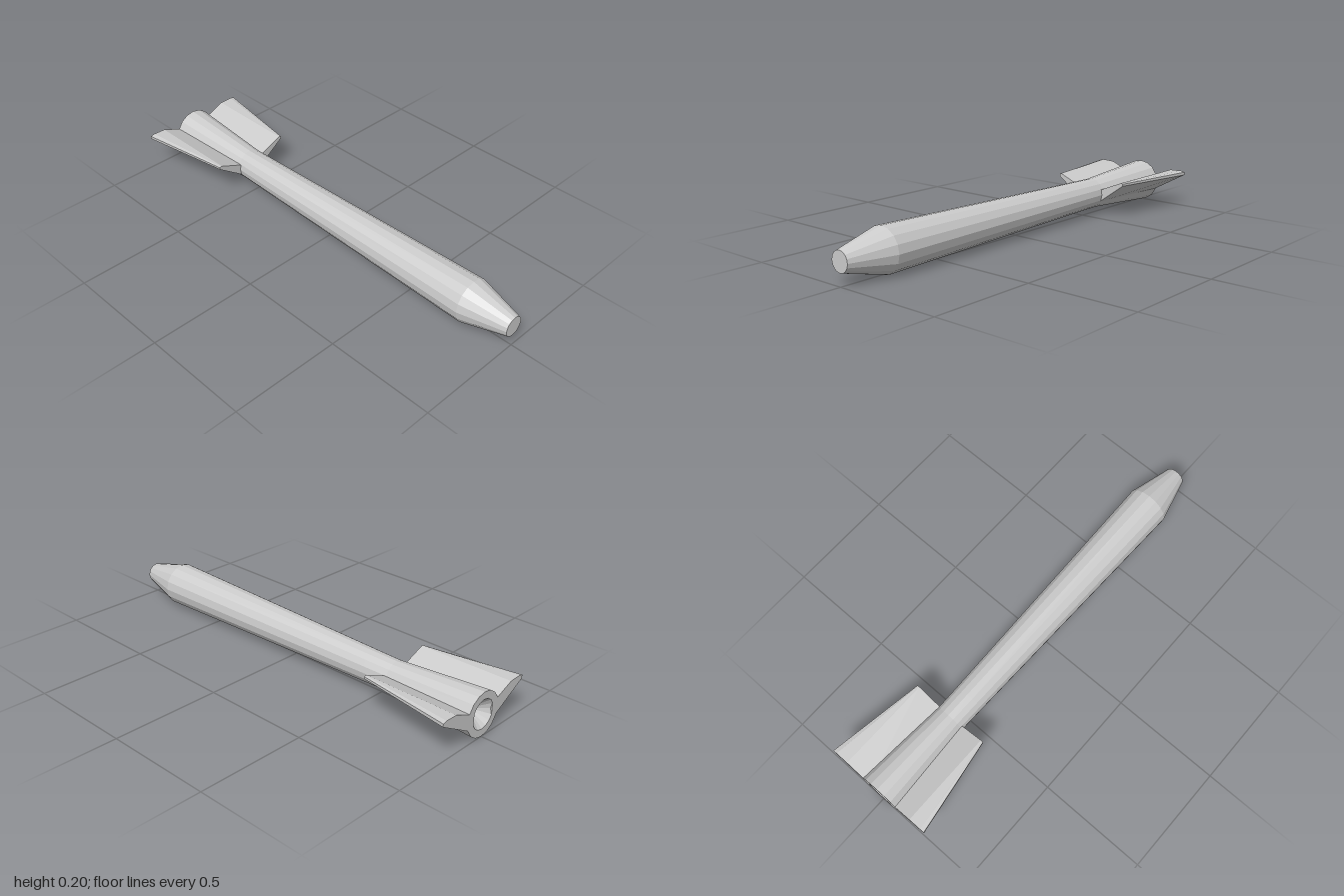
import * as THREE from 'three';

const material = new THREE.MeshStandardMaterial({ color: 0xcccccc, flatShading: true });

// Fin cross-sections (x, y): root top, crease, outer top, tip top, tip bottom, root bottom
const FIN_FRONT = [[0.04, 0.115], [0.178, 0.173], [0.185, 0.173], [0.19, 0.17], [0.19, 0.16], [0.05, 0.06]];
const FIN_REAR = [[0.06, 0.125], [0.18, 0.174], [0.24, 0.176], [0.26, 0.171], [0.26, 0.157], [0.06, 0.047]];

// Joins the two sections into a closed fin; side is +1 or -1
function finGeometry(side) {
  const n = FIN_FRONT.length;
  const positions = [];
  for (const [section, z] of [[FIN_FRONT, -0.56], [FIN_REAR, -1]]) {
    for (const [x, y] of section) positions.push(x * side, y, z);
  }
  const index = [];
  const tri = (a, b, c) => (side > 0 ? index.push(a, b, c) : index.push(a, c, b));
  for (let i = 0; i < n; i++) {
    const j = (i + 1) % n;
    tri(i, j, n + i);
    tri(j, n + j, n + i);
  }
  // Front and rear caps
  for (let i = 1; i < n - 1; i++) {
    tri(0, i + 1, i);
    tri(n, n + i, n + i + 1);
  }
  const geometry = new THREE.BufferGeometry();
  geometry.setAttribute('position', new THREE.Float32BufferAttribute(positions, 3));
  geometry.setIndex(index);
  const flat = geometry.toNonIndexed();
  flat.computeVertexNormals();
  return flat;
}

export function createModel() {
  const group = new THREE.Group();

  // Body: tapered tube with blunt nose and hollow conical tail, [radius, z] from tail to nose
  const profile = [
    [0, -0.93], [0.066, -1], [0.1, -1], [0.071, -0.57], [0.073, -0.45],
    [0.1, 0.79], [0.046, 1], [0, 1],
  ].map(([r, z]) => new THREE.Vector2(r, z));
  const bodyGeometry = new THREE.LatheGeometry(profile, 16);
  bodyGeometry.rotateX(Math.PI / 2);
  bodyGeometry.translate(0, 0.1, 0);
  const body = new THREE.Mesh(bodyGeometry, material);
  body.name = 'body';
  group.add(body);

  // Mirrored tail fins
  for (const side of [1, -1]) {
    const fin = new THREE.Mesh(finGeometry(side), material);
    fin.name = side > 0 ? 'leftFin' : 'rightFin';
    group.add(fin);
  }
  return group;
}
